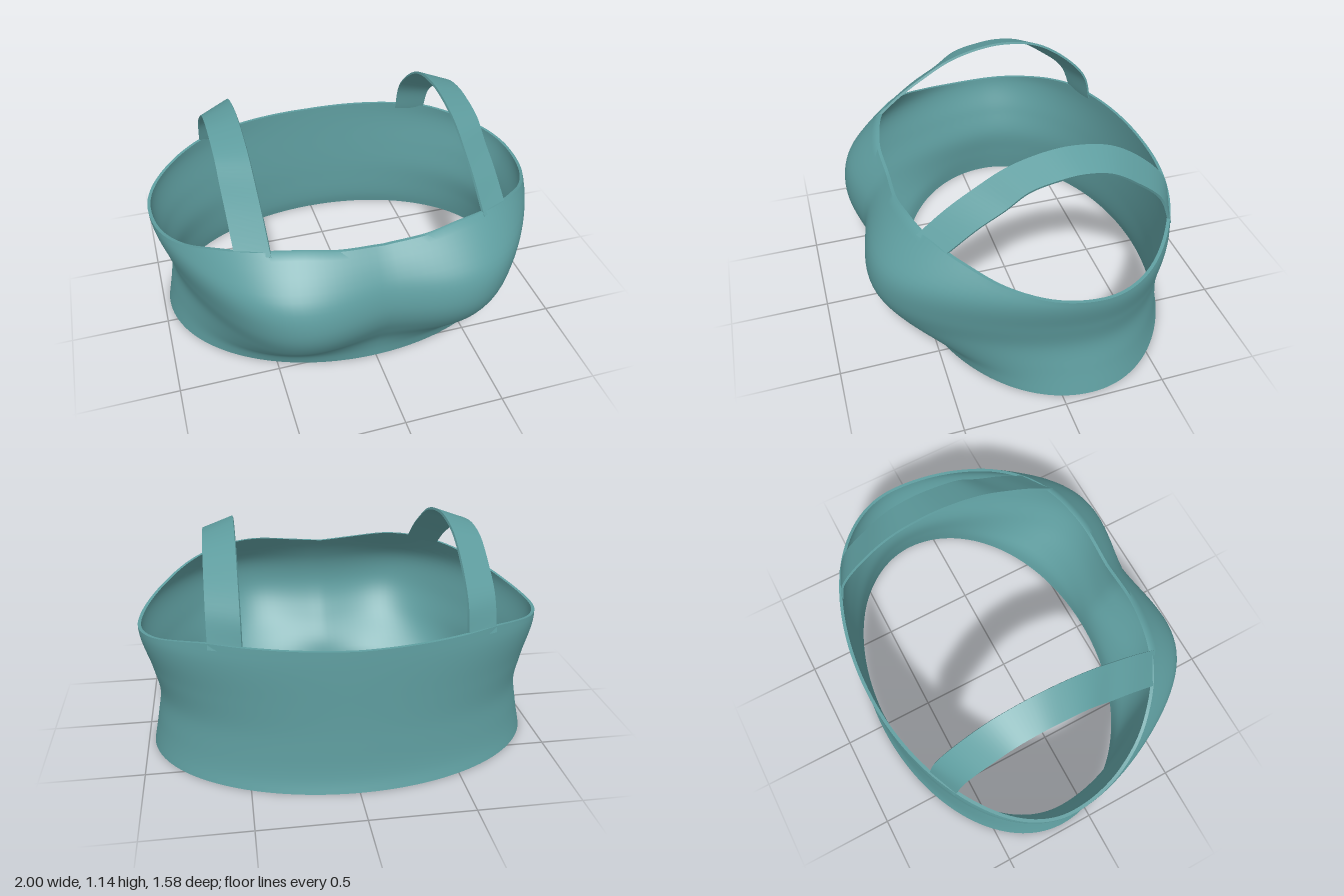
import * as THREE from 'three';
import { toCreasedNormals } from 'three/addons/utils/BufferGeometryUtils.js';

// Smooth function through [input, value] pairs
function curve(pairs) {
  const c = new THREE.CubicInterpolant(pairs.map(p => p[0]), pairs.map(p => p[1]), 1, new Float32Array(1));
  return t => c.evaluate(t)[0];
}

// Skin a list of closed cross-sections; optionally join the last to the first
function loft(sections, closed) {
  const n = sections.length, m = sections[0].length, index = [];
  for (let i = 0; i < (closed ? n : n - 1); i++) {
    const k = (i + 1) % n;
    for (let j = 0; j < m; j++) {
      const l = (j + 1) % m;
      index.push(i * m + j, i * m + l, k * m + l, i * m + j, k * m + l, k * m + j);
    }
  }
  const g = new THREE.BufferGeometry().setFromPoints(sections.flat());
  g.setIndex(index);
  return toCreasedNormals(g, 0.8);
}

// Body measurements by height
const MID_Z = -0.15;
const halfWidth = curve([[0, 0.97], [0.15, 0.94], [0.3, 0.92], [0.45, 0.95], [0.65, 1], [0.72, 0.985], [0.82, 0.95]]);
const backDepth = curve([[0, 0.645], [0.06, 0.63], [0.25, 0.62], [0.72, 0.625], [0.82, 0.62]]);
const frontDepth = curve([[0, 0.7], [0.07, 0.71], [0.15, 0.735], [0.28, 0.81], [0.4, 0.87], [0.5, 0.89], [0.62, 0.87], [0.71, 0.82], [0.785, 0.76], [0.82, 0.73]]);
const bulge = curve([[0, 0], [0.07, 0.03], [0.15, 0.095], [0.28, 0.16], [0.4, 0.18], [0.5, 0.18], [0.62, 0.17], [0.71, 0.14], [0.82, 0.1]]);
// Top edge height by angle in degrees: 90 = front centre, 0 = side, -90 = back
const rim = curve([[-90, 0.722], [-60, 0.73], [-47, 0.728], [-40, 0.715], [-22, 0.675], [0, 0.655], [14, 0.67], [26, 0.71], [40, 0.775], [53, 0.81], [66, 0.82], [78, 0.8], [90, 0.785]]);

function bodyPoint(t, y, inset) {
  const c = Math.cos(t), s = Math.sin(t);
  const lobes = Math.sin(Math.PI * Math.min(1, Math.abs(c) ** 1.45));
  const depth = s > 0 ? frontDepth(y) + bulge(y) * lobes : backDepth(y);
  return new THREE.Vector3((halfWidth(y) - inset) * c, y, MID_Z + (depth - inset) * s);
}

function bodyGeometry() {
  const sections = [], around = 144, rows = 30, thickness = 0.016;
  for (let i = 0; i < around; i++) {
    const t = (i / around) * Math.PI * 2;
    const top = rim(THREE.MathUtils.radToDeg(Math.asin(Math.sin(t))));
    const profile = [];
    for (let r = 0; r <= rows; r++) profile.push(bodyPoint(t, 0.002 + (top - 0.002) * r / rows, 0));
    for (let r = rows; r >= 0; r--) profile.push(bodyPoint(t, 0.002 + (top - 0.002) * r / rows, thickness));
    sections.push(profile);
  }
  return loft(sections, true);
}

// Strap: a thin band between an inner and an outer edge curve, front to back
function strapGeometry() {
  const edge = (x, pts) => new THREE.CatmullRomCurve3(pts.map(([z, y]) => new THREE.Vector3(x, y, z)));
  const inner = edge(0.51, [[0.565, 0.8], [0.43, 0.91], [0.3, 0.995], [0.155, 1.075], [0, 1.12], [-0.15, 1.133], [-0.34, 1.098], [-0.51, 0.99], [-0.635, 0.85], [-0.675, 0.7]]);
  const outer = edge(0.66, [[0.47, 0.785], [0.32, 0.895], [0.2, 0.965], [0.09, 1.04], [-0.05, 1.073], [-0.16, 1.08], [-0.29, 1.055], [-0.42, 0.975], [-0.55, 0.86], [-0.615, 0.7]]);
  const sections = [], steps = 60, half = 0.006;
  for (let i = 0; i <= steps; i++) {
    const a = inner.getPoint(i / steps), b = outer.getPoint(i / steps);
    const n = b.clone().sub(a).cross(inner.getTangent(i / steps)).setLength(half);
    sections.push([a.clone().add(n), b.clone().add(n), b.clone().sub(n), a.clone().sub(n)]);
  }
  // Close both ends
  const cap = s => {
    const mid = s.reduce((sum, p) => sum.add(p), new THREE.Vector3()).multiplyScalar(0.25);
    return s.map(() => mid.clone());
  };
  return loft([cap(sections[0]), ...sections, cap(sections[steps])], false);
}

export function createModel() {
  const model = new THREE.Group();
  const fabric = new THREE.MeshStandardMaterial({ color: 0x5f9ea0, side: THREE.DoubleSide });

  const body = new THREE.Mesh(bodyGeometry(), fabric);
  body.name = 'body';
  model.add(body);

  const strap = strapGeometry();
  for (const [name, side] of [['leftStrap', 1], ['rightStrap', -1]]) {
    const mesh = new THREE.Mesh(strap, fabric);
    mesh.name = name;
    mesh.scale.x = side;
    model.add(mesh);
  }
  return model;
}
